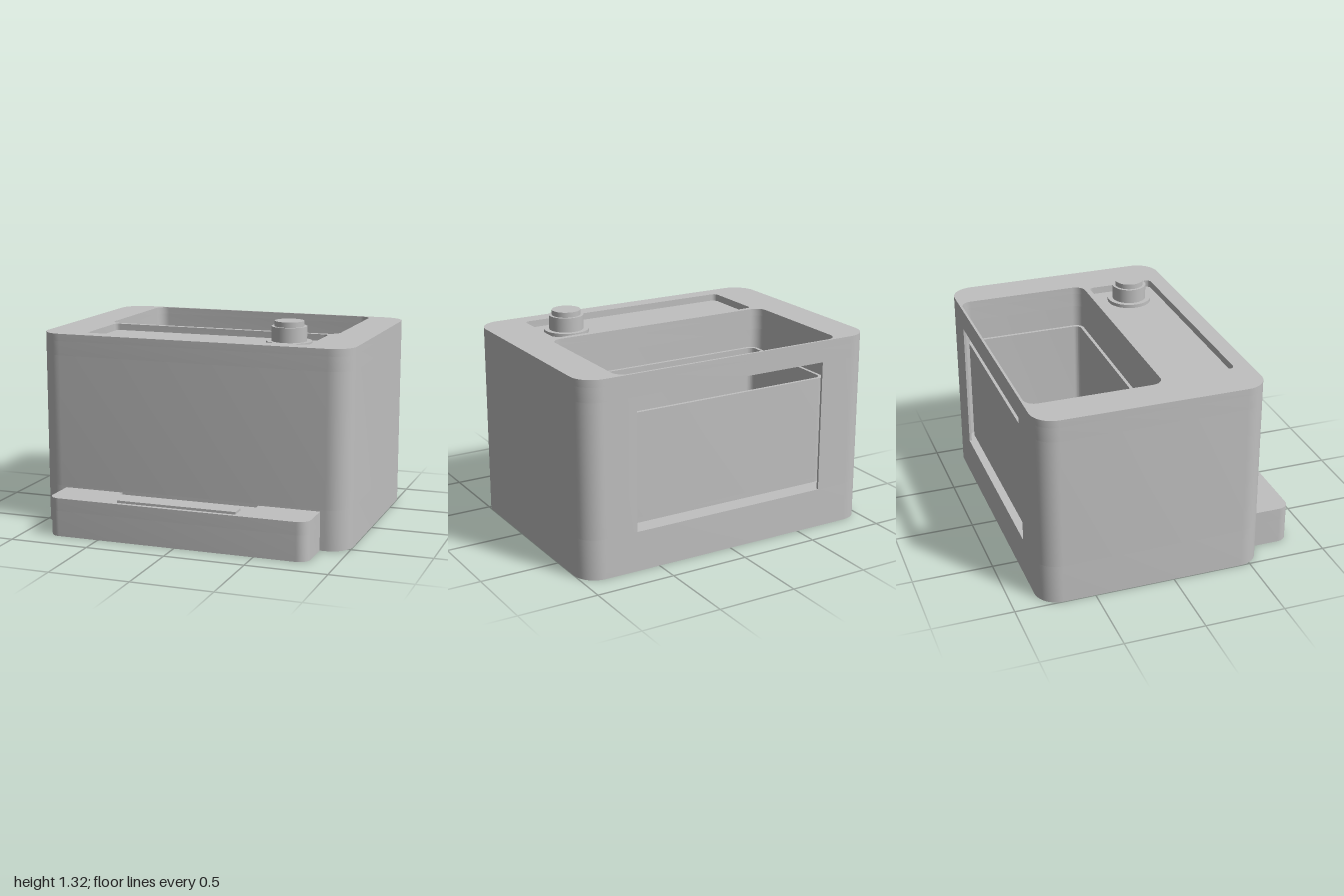
import * as THREE from 'three';
import { toCreasedNormals } from 'three/addons/utils/BufferGeometryUtils.js';

const K = 0.5523; // circular corner factor

// Closed outline from [x, z, radius] corners, drawn in plan
function outline(corners, path = new THREE.Shape()) {
  const n = corners.length;
  const pts = corners.map(([x, z]) => new THREE.Vector2(x, -z));
  for (let i = 0; i < n; i++) {
    const p = pts[i], r = corners[i][2] || 0;
    const dirA = pts[(i + n - 1) % n].clone().sub(p).normalize();
    const dirB = pts[(i + 1) % n].clone().sub(p).normalize();
    const at = (d, t) => p.clone().addScaledVector(d, t);
    const a = at(dirA, r), b = at(dirB, r);
    if (i === 0) path.moveTo(a.x, a.y); else path.lineTo(a.x, a.y);
    if (r > 0) {
      const c1 = at(dirA, r * (1 - K)), c2 = at(dirB, r * (1 - K));
      path.bezierCurveTo(c1.x, c1.y, c2.x, c2.y, b.x, b.y);
    }
  }
  path.closePath();
  return path;
}

const rect = (x, z0, z1, r) => [[-x, z0, r], [-x, z1, r], [x, z1, r], [x, z0, r]];

// Upright slab with a plan outline, optional holes, between two heights
function slab(group, name, material, corners, y0, y1, holes = []) {
  const shape = outline(corners);
  for (const h of holes) shape.holes.push(outline(h, new THREE.Path()));
  const geo = new THREE.ExtrudeGeometry(shape, { depth: y1 - y0, bevelEnabled: false, curveSegments: 10 });
  geo.rotateX(-Math.PI / 2).translate(0, y0, 0);
  const mesh = new THREE.Mesh(toCreasedNormals(geo, 0.6), material);
  mesh.name = name;
  group.add(mesh);
}

function disc(group, name, material, r, x, z, y0, y1) {
  const geo = new THREE.CylinderGeometry(r, r, y1 - y0, 40);
  const mesh = new THREE.Mesh(geo, material);
  mesh.position.set(x, (y0 + y1) / 2, z);
  mesh.name = name;
  group.add(mesh);
}

export function createModel() {
  const model = new THREE.Group();
  model.name = 'countertopAppliance';
  const grey = new THREE.MeshStandardMaterial({ color: 0xc0c0c0 });
  grey.name = 'light grey';

  const part = (name) => {
    const g = new THREE.Group();
    g.name = name;
    model.add(g);
    return g;
  };

  // Housing, stacked from plan sections
  const housing = part('housing');
  const back = -0.84, wellBack = -0.825, wellFront = 0.01;
  const body = rect(1, back, 0.58, 0.14);
  const well = rect(0.765, wellBack, wellFront, 0.07);
  const recess = rect(0.717, 0.045, 0.475, 0.03);
  slab(housing, 'housingBase', grey, body, 0, 0.25);
  // Middle section: the well opens through the back as a window
  const windowX = 0.65;
  slab(housing, 'housingWalls', grey, [
    [-windowX, back], [-1, back, 0.14], [-1, 0.58, 0.14], [1, 0.58, 0.14], [1, back, 0.14], [windowX, back],
    [windowX, wellBack], [0.765, wellBack, 0.07], [0.765, wellFront, 0.07],
    [-0.765, wellFront, 0.07], [-0.765, wellBack, 0.07], [-windowX, wellBack],
  ], 0.25, 1.08);
  slab(housing, 'upperBand', grey, body, 1.08, 1.17, [well]);
  slab(housing, 'topRim', grey, body, 1.17, 1.215, [well, recess]);

  // Control panel and knob
  const controls = part('controls');
  slab(controls, 'controlPanel', grey, rect(0.695, 0.068, 0.455, 0.02), 1.165, 1.178);
  disc(controls, 'knobCollar', grey, 0.14, 0.53, 0.26, 1.17, 1.2);
  disc(controls, 'knobBody', grey, 0.108, 0.53, 0.26, 1.19, 1.29);
  disc(controls, 'knobCap', grey, 0.09, 0.53, 0.26, 1.28, 1.322);

  // Open tank standing in the well
  const tank = part('tank');
  const tankOuter = rect(0.7, -0.805, -0.018, 0.055);
  slab(tank, 'tankFloor', grey, tankOuter, 0.29, 0.32);
  slab(tank, 'tankWalls', grey, tankOuter, 0.32, 0.97, [rect(0.68, -0.785, -0.038, 0.04)]);
  for (const x of [-0.3, 0.3]) disc(tank, 'tankValve', grey, 0.052, x, -0.41, 0.315, 0.33);

  // Front tray with a slot against the housing
  const tray = part('frontTray');
  const plan = [[-0.83, 0.57], [-0.83, 0.84, 0.07], [0.83, 0.84, 0.07], [0.83, 0.57]];
  slab(tray, 'trayBase', grey, plan, 0, 0.16);
  slab(tray, 'trayTop', grey, [...plan, [0.445, 0.57], [0.445, 0.622], [-0.445, 0.622], [-0.445, 0.57]], 0.16, 0.24);
  slab(tray, 'trayPad', grey, rect(0.38, 0.72, 0.812, 0), 0.235, 0.255);

  return model;
}
